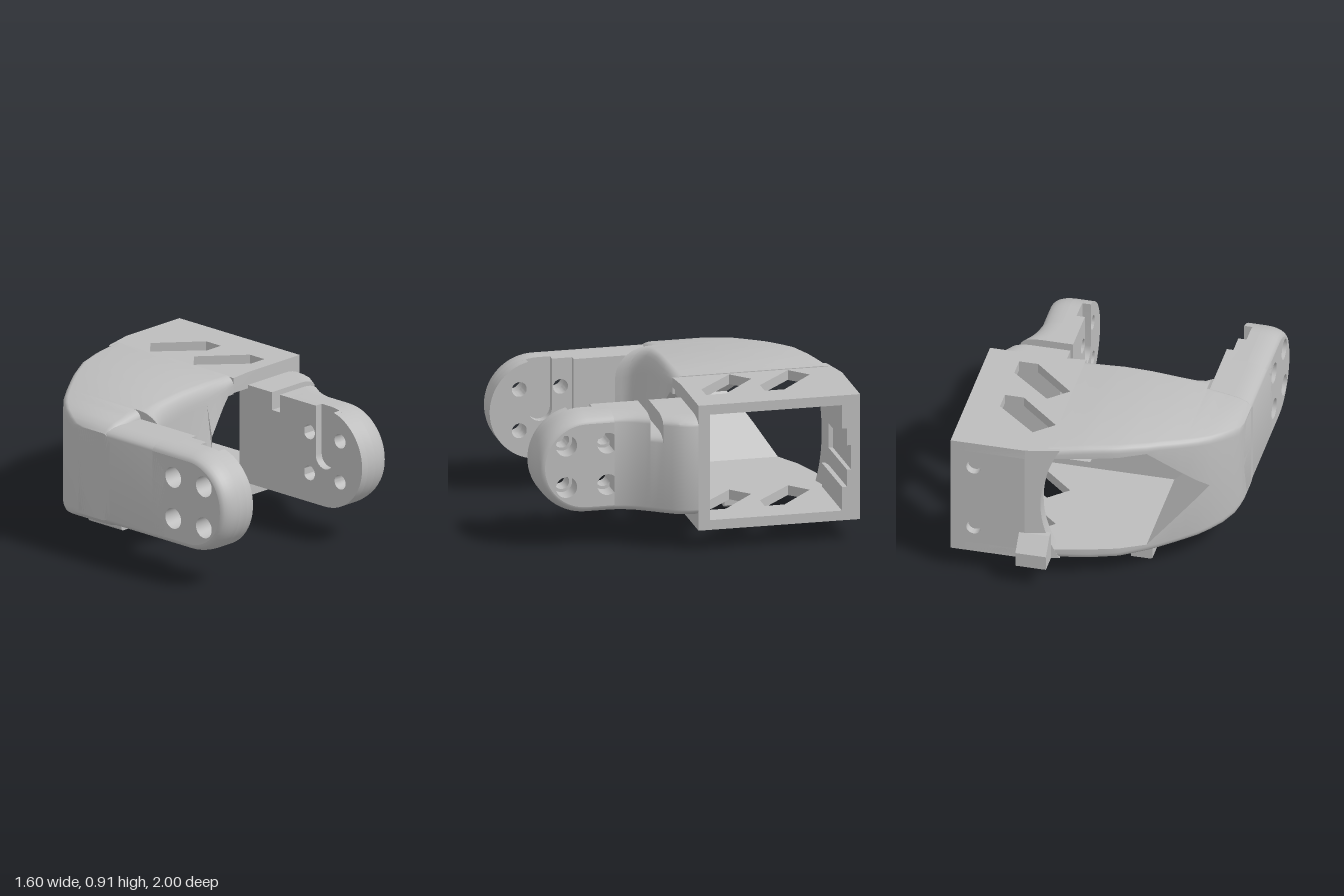
import * as THREE from 'three';
import { toCreasedNormals } from 'three/addons/utils/BufferGeometryUtils.js';

const MID = 0.515; // height of the symmetry plane

// Piecewise linear lookup in a list of [key, value]
function lerpTable(t, x) {
  if (x <= t[0][0]) return t[0][1];
  for (let i = 1; i < t.length; i++) {
    const [a, va] = t[i - 1], [b, vb] = t[i];
    if (x <= b) return va + (vb - va) * (x - a) / (b - a);
  }
  return t[t.length - 1][1];
}

// Turns a geometry so that its faces point outwards, and smooths gentle edges
function finish(geo) {
  const g = geo.index ? geo.toNonIndexed() : geo;
  const p = g.attributes.position;
  g.computeBoundingBox();
  const c = g.boundingBox.getCenter(new THREE.Vector3());
  const [a, b, d] = [0, 1, 2].map(() => new THREE.Vector3());
  let vol = 0;
  for (let i = 0; i < p.count; i += 3) {
    [a, b, d].forEach((v, k) => v.fromBufferAttribute(p, i + k).sub(c));
    vol += a.dot(b.cross(d));
  }
  if (vol < 0) for (let i = 0; i < p.count; i += 3) {
    a.fromBufferAttribute(p, i + 1);
    b.fromBufferAttribute(p, i + 2);
    p.setXYZ(i + 1, b.x, b.y, b.z);
    p.setXYZ(i + 2, a.x, a.y, a.z);
  }
  g.computeVertexNormals();
  return toCreasedNormals(g, 0.55);
}

// Skin over rings of [u, v] at stations t; map(t, u, v) gives the position
function loft(stations, ringAt, map, caps = true) {
  const rings = stations.map(ringAt), n = rings[0].length, pos = [], idx = [];
  rings.forEach((r, i) => r.forEach(([u, v]) => pos.push(...map(stations[i], u, v))));
  for (let i = 0; i < rings.length - 1; i++) for (let j = 0; j < n; j++) {
    const a = i * n + j, b = i * n + (j + 1) % n;
    idx.push(a, b, a + n, b, b + n, a + n);
  }
  if (caps) [0, rings.length - 1].forEach((k) => {
    const pts = rings[k].map(([u, v]) => new THREE.Vector2(u, v));
    const sign = THREE.ShapeUtils.area(pts);
    for (const f of THREE.ShapeUtils.triangulateShape(pts, [])) {
      const same = THREE.ShapeUtils.area(f.map((i) => pts[i])) * sign > 0;
      const [a, b, c] = f.map((i) => i + k * n);
      if (same === (k === 0)) idx.push(a, c, b); else idx.push(a, b, c);
    }
  });
  const g = new THREE.BufferGeometry();
  g.setAttribute('position', new THREE.Float32BufferAttribute(pos, 3));
  g.setIndex(idx);
  return finish(g);
}

const shapeOf = (pts) => new THREE.Shape(pts.map(([x, y]) => new THREE.Vector2(x, y)));
const circle = (x, y, r) => new THREE.Path().absarc(x, y, r, 0, Math.PI * 2, true);

// Extrudes a shape and places each point by map(u, v, depth)
function slab(shape, depth, map, holes = []) {
  shape.holes.push(...holes);
  const g = new THREE.ExtrudeGeometry(shape, { depth, bevelEnabled: false, curveSegments: 16 });
  const p = g.attributes.position;
  for (let i = 0; i < p.count; i++) p.setXYZ(i, ...map(p.getX(i), p.getY(i), p.getZ(i)));
  return finish(g);
}

// Plan and height of the curved body along x
const BACK = [[-0.8, -0.2], [-0.79, -0.26], [-0.77, -0.31], [-0.72, -0.39], [-0.66, -0.46], [-0.6, -0.515],
  [-0.5, -0.585], [-0.335, -0.69], [-0.18, -0.77], [0, -0.825], [0.22, -0.88], [0.35, -0.91]];
const FRONT = [[-0.531, 0.05], [-0.53, 0.25], [-0.5, 0.18], [-0.45, 0.135], [-0.4, 0.115], [-0.3, 0.1], [-0.02, 0.1], [0.22, 0.085]];
const HALF = [[-0.8, 0.27], [-0.77, 0.3], [-0.72, 0.32], [-0.6, 0.345], [-0.4, 0.375], [-0.2, 0.395], [0, 0.4], [0.22, 0.39]];
const SHOULDER = [[-0.8, 0.05], [-0.531, 0.06], [-0.53, 0.19], [-0.4, 0.14], [-0.02, 0.12], [0.22, 0.05]];
const RIDGE = [[-0.43, 0], [-0.02, 0.04], [0.15, 0]];

// Half section of the body in [z, height above the middle], with V-ended cavity
function bodySection(x) {
  const zb = lerpTable(BACK, x), zf = lerpTable(FRONT, x), top = lerpTable(HALF, x);
  const rv = lerpTable(SHOULDER, x), rz = 0.06 + Math.max(0, zf - 0.1), rb = 0.04;
  const cavity = Math.min(Math.max(x + 0.66, 0), 0.325);
  const gap = x > -0.02 ? Math.min(0.285, 0.11 + x) : 0;
  const ring = [[zb, cavity]];
  for (let i = 0; i <= 4; i++) {
    const a = i / 4 * Math.PI / 2;
    ring.push([zb + rb * (1 - Math.cos(a)), top - rb * (1 - Math.sin(a))]);
  }
  for (let i = 0; i <= 6; i++) {
    const a = i / 6 * Math.PI / 2;
    ring.push([zf - rz * (1 - Math.sin(a)), top - rv * (1 - Math.cos(a))]);
  }
  ring.push([zf + lerpTable(RIDGE, x), gap], [0, gap], [0, cavity]);
  return ring;
}

// Arm end outline in [z, y]
function armOutline(inset) {
  const r = 0.305 - inset, pts = [[0.4, MID - r]];
  for (let i = 0; i <= 32; i++) {
    const a = (i / 32 - 0.5) * Math.PI;
    pts.push([0.695 + r * Math.cos(a), MID + r * Math.sin(a)]);
  }
  pts.push([0.4, MID + r]);
  return pts;
}

// Arm root section in [x, y], rounded on the outer side only
function rootSection(inner, outer, top = 0.82) {
  const dir = Math.sign(outer - inner), pts = [[inner, 0.21]], arc = [];
  for (let i = 0; i <= 6; i++) {
    const a = i / 6 * Math.PI / 2;
    arc.push([outer - dir * 0.12 * (1 - Math.sin(a)), 0.05 * (1 - Math.cos(a))]);
  }
  arc.forEach(([x, d]) => pts.push([x, 0.21 + d]));
  arc.reverse().forEach(([x, d]) => pts.push([x, top - d]));
  pts.push([inner, top]);
  return pts;
}

export function createModel() {
  const model = new THREE.Group();
  const grey = new THREE.MeshStandardMaterial({ color: 0xbdbdbd });
  grey.name = 'lightGrey';
  const add = (name, geo, parent = model) => {
    const m = new THREE.Mesh(geo, grey);
    m.name = name;
    parent.add(m);
  };
  const box = (name, x0, x1, y0, y1, z0, z1) => add(name, new THREE.BoxGeometry(x1 - x0, y1 - y0, z1 - z0)
    .translate((x0 + x1) / 2, (y0 + y1) / 2, (z0 + z1) / 2));

  // Curved hollow body, upper and lower half
  const xs = [-0.8, -0.79, -0.77, -0.72, -0.66, -0.6, -0.54, -0.531, -0.53, -0.515, -0.5, -0.475, -0.45, -0.4,
    -0.335, -0.25, -0.18, -0.1, -0.02, -0.0199, 0.06, 0.12, 0.175, 0.22];
  for (const s of [1, -1]) add(s > 0 ? 'bodyUpper' : 'bodyLower', loft(xs, bodySection, (x, z, v) => [x, MID + s * v, z]));

  // Box section: top and bottom plates with slanted windows
  const plan = [[0.22, -0.88], [0.35, -0.91], [0.8, -0.91], [0.8, 0.07], [0.36, 0.07], [0.22, 0.085]];
  const windowPts = [[0.35, -0.715], [0.6, -0.5], [0.6, -0.38], [0.485, -0.38], [0.235, -0.61]];
  for (const y of [0.13, 0.84]) {
    const windows = [0, 0.355].map((dz) => shapeOf(windowPts.map(([x, z]) => [x, z + dz])));
    add(y > 0.5 ? 'topPlate' : 'bottomPlate', slab(shapeOf(plan), 0.06, (x, z, d) => [x, y + d, z], windows));
  }

  // Back wall with screw holes, arched window edge and inner rails
  add('backWall', slab(shapeOf([[0.35, 0.13], [0.8, 0.13], [0.8, 0.9], [0.35, 0.9]]), 0.055,
    (x, y, d) => [x, y, -0.91 + d], [circle(0.66, 0.3, 0.045), circle(0.66, 0.73, 0.045)]));
  const arch = new THREE.Shape();
  arch.moveTo(0.35, 0.13);
  arch.lineTo(0.35, 0.9);
  arch.lineTo(0.15, 0.9);
  arch.quadraticCurveTo(0.37, MID, 0.15, 0.13);
  add('backWallArch', slab(arch, 0.08, (x, y, d) => [x, y, -0.91 + d + (0.35 - x) * 0.23]));
  for (const s of [1, -1]) {
    const span = (a, b) => [MID + s * a, MID + s * b].sort((p, q) => p - q);
    box('outerRail', 0.3, 0.8, ...span(0.18, 0.325), -0.86, -0.8);
    box('innerRail', 0.3, 0.8, ...span(0.075, 0.18), -0.86, -0.83);
    box('frontLip', 0.22, 0.36, ...span(0.285, 0.33), 0, 0.07);
  }
  box('frontWall', 0.36, 0.8, 0.13, 0.9, 0, 0.07);

  // Arm ends: pocketed inner layer, core, rounded outer face, four screw holes
  const arms = [['rightArm', -0.57, -1, 0.23], ['leftArm', 0.36, 1, 0.235]];
  for (const [name, x0, dir, depth] of arms) {
    const arm = new THREE.Group();
    arm.name = name;
    model.add(arm);
    const holes = (r) => [0.57, 0.82].flatMap((z) => [0.39, 0.645].map((y) => circle(z, y, r)));
    const at = (d0) => (z, y, d) => [x0 + dir * (d0 + d), y, z];
    const pocketed = armOutline(0).filter(([z, y]) => !(y > MID && z > 0.6 && z < 0.785));
    const cut = pocketed.findIndex(([z, y]) => y > MID && z < 0.6);
    const slot = [[0.768, 0.811]];
    for (let i = 0; i <= 12; i++) {
      const a = i / 12 * Math.PI;
      slot.push([0.695 + 0.073 * Math.cos(a), MID - 0.073 * Math.sin(a)]);
    }
    slot.push([0.622, 0.82]);
    pocketed.splice(cut, 0, ...slot);
    add('hornPocket', slab(shapeOf(pocketed), 0.05, at(0), holes(0.045)), arm);
    add('armCore', slab(shapeOf(armOutline(0)), depth - 0.17, at(0.05), holes(0.045)), arm);
    add('armFace', slab(shapeOf(armOutline(0.05)), 0.12, at(depth - 0.12), holes(0.064)), arm);
    add('armRim', loft([0, 1, 2, 3, 4, 5, 6].map((i) => i / 6 * Math.PI / 2),
      (a) => armOutline(0.05 * (1 - Math.cos(a))),
      (a, z, y) => [x0 + dir * (depth - 0.12 + 0.12 * Math.sin(a)), y, z], false), arm);
  }

  // Arm roots: straight on one side, flared with a cable groove on the other
  const toXYZ = (z, x, y) => [x, y, z];
  const innerX = [[-0.2, -0.7], [0, -0.66], [0.001, -0.53], [0.5, -0.53]];
  add('rightArmRoot', loft([-0.2, 0, 0.001, 0.5], (z) => rootSection(lerpTable(innerX, z), -0.8), toXYZ));
  const flare = [[0.06, 0.8], [0.12, 0.797], [0.18, 0.78], [0.25, 0.735], [0.32, 0.685], [0.4, 0.635], [0.46, 0.61], [0.53, 0.595]];
  add('leftArmRoot', loft([0.03, 0.08, 0.12, 0.15, 0.18, 0.22, 0.265, 0.2651, 0.3, 0.33, 0.3301, 0.36, 0.4, 0.46, 0.53],
    (z) => rootSection(0.36, lerpTable(flare, z), z > 0.265 && z < 0.3301 ? 0.71 : 0.82), toXYZ));

  // Cable clip hooks below the body
  const hook = [[0.155, 0.14], [0.155, 0.01], [0.145, 0], [0.025, 0], [0.025, 0.03], [0.065, 0.055], [0.07, 0.085], [0.04, 0.14]];
  for (const s of [1, -1]) add('clipHook', slab(shapeOf(hook), 0.27, (u, v, d) => [-0.185 + s * u, v, -0.56 + d]));

  // Wedge lug on the back
  add('backLug', slab(shapeOf([[-0.87, 0.13], [-1, 0.13], [-1, 0.22], [-0.91, 0.31], [-0.87, 0.31]]), 0.185,
    (z, y, d) => [0.2 + d, y, z]));
  return model;
}
